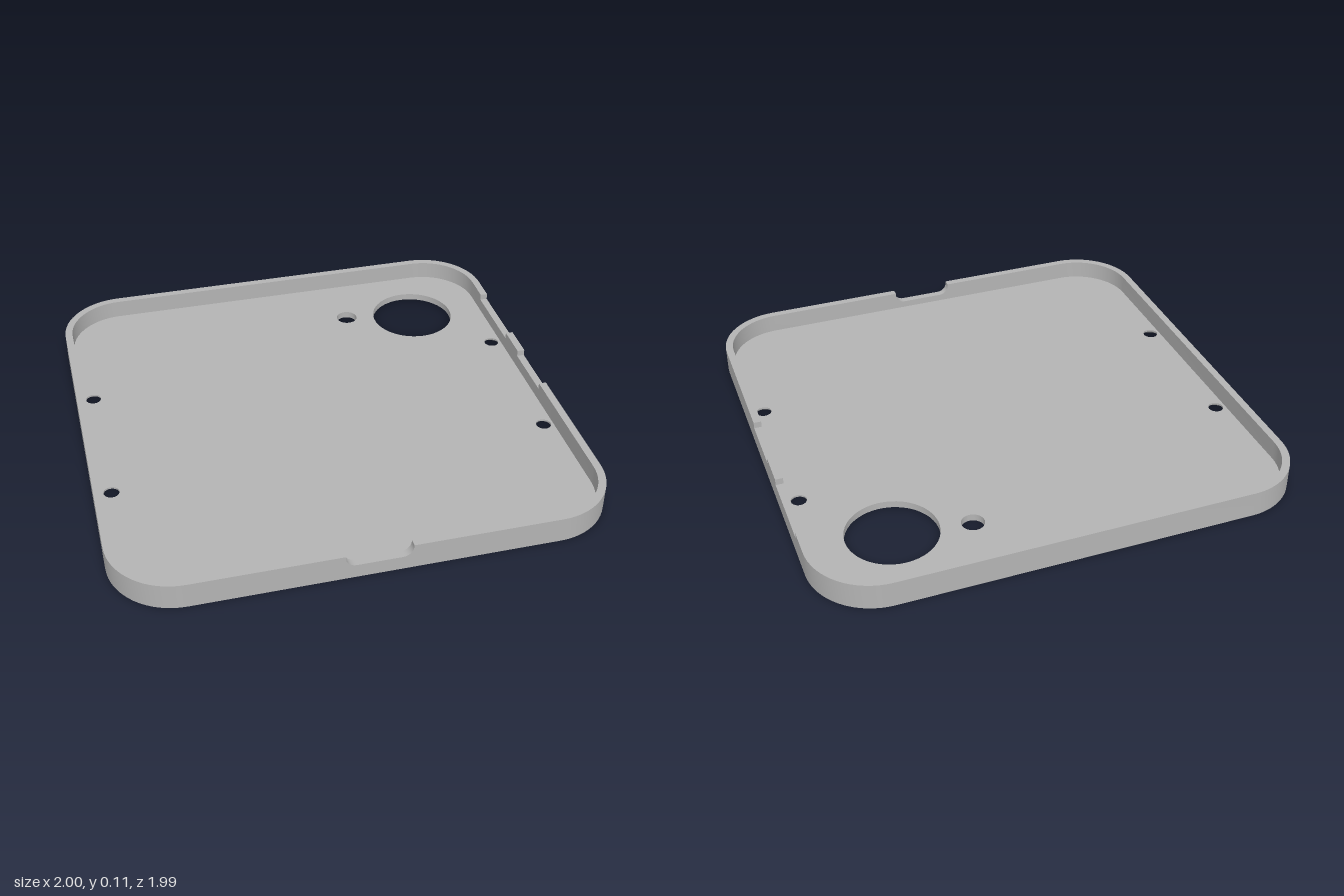
import * as THREE from 'three';
import { toCreasedNormals } from 'three/addons/utils/BufferGeometryUtils.js';

const W = 1, D = 0.995, R = 0.27;           // half width, half depth, corner radius
const WALL = 0.032, FLOOR = 0.03, TOP = 0.11;

// round openings: x, z, radius at the top, radius at the underside
const HOLES = [
  { name: 'largeOpening', x: 0.635, z: -0.635, r: 0.186, low: 0.186 },
  { name: 'smallOpening', x: 0.325, z: -0.688, r: 0.047, low: 0.047 },
];
for (const x of [-0.925, 0.925])
  for (const z of [-0.323, 0.323])
    HOLES.push({ name: 'countersunkScrewHole', x, z, r: 0.032, low: 0.06 });

// stations around the outline: outer point, outward normal, wall height
function outline() {
  const list = [];
  const add = (x, z, nx, nz, h = TOP) => list.push({ x, z, nx, nz, h });
  const corner = (sx, sz, start) => {
    for (let i = 0; i <= 16; i++) {
      const a = start + (i / 16) * Math.PI / 2, c = Math.cos(a), s = Math.sin(a);
      add(sx * (W - R) + R * c, sz * (D - R) + R * s, c, s);
    }
  };
  // two shallow square notches on the left side
  for (const [a, b] of [[-0.605, -0.265], [-0.115, 0.142]]) {
    add(W, a, 1, 0); add(W, a, 1, 0, 0.083);
    add(W, b, 1, 0, 0.083); add(W, b, 1, 0);
  }
  corner(1, 1, 0);
  // deeper front notch with rounded lower corners
  const half = 0.132, low = 0.06, r = 0.042;
  for (const side of [1, -1]) {
    const arc = [[half, TOP]];
    for (let i = 0; i <= 8; i++) {
      const t = (i / 8) * Math.PI / 2;
      arc.push([half - r * (1 - Math.cos(t)), low + r * (1 - Math.sin(t))]);
    }
    if (side < 0) arc.reverse();
    for (const [x, h] of arc) add(side * x, D, 0, 1, h);
  }
  corner(-1, 1, Math.PI / 2);
  corner(-1, -1, Math.PI);
  corner(1, -1, Math.PI * 1.5);
  return list;
}

// rim: outer face, top edge and inner face swept round the outline
function rimGeometry(stations) {
  const rings = stations.map(({ x, z, nx, nz, h }) => {
    const ix = x - nx * WALL, iz = z - nz * WALL;
    return [[x, 0, z], [x, h, z], [ix, h, iz], [ix, FLOOR, iz]].map(p => new THREE.Vector3(...p));
  });
  const pos = [];
  const tri = (a, b, c) => {
    if (new THREE.Triangle(a, b, c).getArea() > 1e-8)
      for (const p of [a, b, c]) pos.push(p.x, p.y, p.z);
  };
  rings.forEach((cur, i) => {
    const next = rings[(i + 1) % rings.length];
    for (let k = 0; k < 3; k++) {
      tri(cur[k], cur[k + 1], next[k + 1]);
      tri(cur[k], next[k + 1], next[k]);
    }
  });
  const g = new THREE.BufferGeometry();
  g.setAttribute('position', new THREE.Float32BufferAttribute(pos, 3));
  return toCreasedNormals(g, Math.PI / 6);
}

// flat sheet with holes; up = 1 faces upward, -1 faces downward
function sheetGeometry(stations, inset, y, up, radius) {
  const shape = new THREE.Shape(stations
    .filter((s, i) => !i || Math.hypot(s.x - stations[i - 1].x, s.z - stations[i - 1].z) > 1e-5)
    .map(s => new THREE.Vector2(s.x - s.nx * inset, -up * (s.z - s.nz * inset))));
  for (const h of HOLES)
    shape.holes.push(new THREE.Path().absarc(h.x, -up * h.z, h[radius], 0, Math.PI * 2, true));
  return new THREE.ShapeGeometry(shape, 24).rotateX(-up * Math.PI / 2).translate(0, y, 0);
}

export function createModel() {
  const group = new THREE.Group();
  group.name = 'shallowTray';
  const grey = new THREE.MeshStandardMaterial({ color: 0xb4b4b4, side: THREE.DoubleSide });
  grey.name = 'grey';
  const add = (name, geometry) => {
    const mesh = new THREE.Mesh(geometry, grey);
    mesh.name = name;
    group.add(mesh);
    return mesh;
  };

  const stations = outline();
  add('rim', rimGeometry(stations));
  add('floorTop', sheetGeometry(stations, WALL, FLOOR, 1, 'r'));
  add('underside', sheetGeometry(stations, 0, 0, -1, 'low'));

  // hole walls, facing inward; screw holes flare toward the underside
  for (const h of HOLES) {
    const profile = [new THREE.Vector2(h.r, FLOOR)];
    if (h.low > h.r) profile.push(new THREE.Vector2(h.r, 0.022));
    profile.push(new THREE.Vector2(h.low, 0));
    const wall = toCreasedNormals(new THREE.LatheGeometry(profile, 48), Math.PI / 6);
    add(h.name, wall).position.set(h.x, 0, h.z);
  }
  return group;
}
